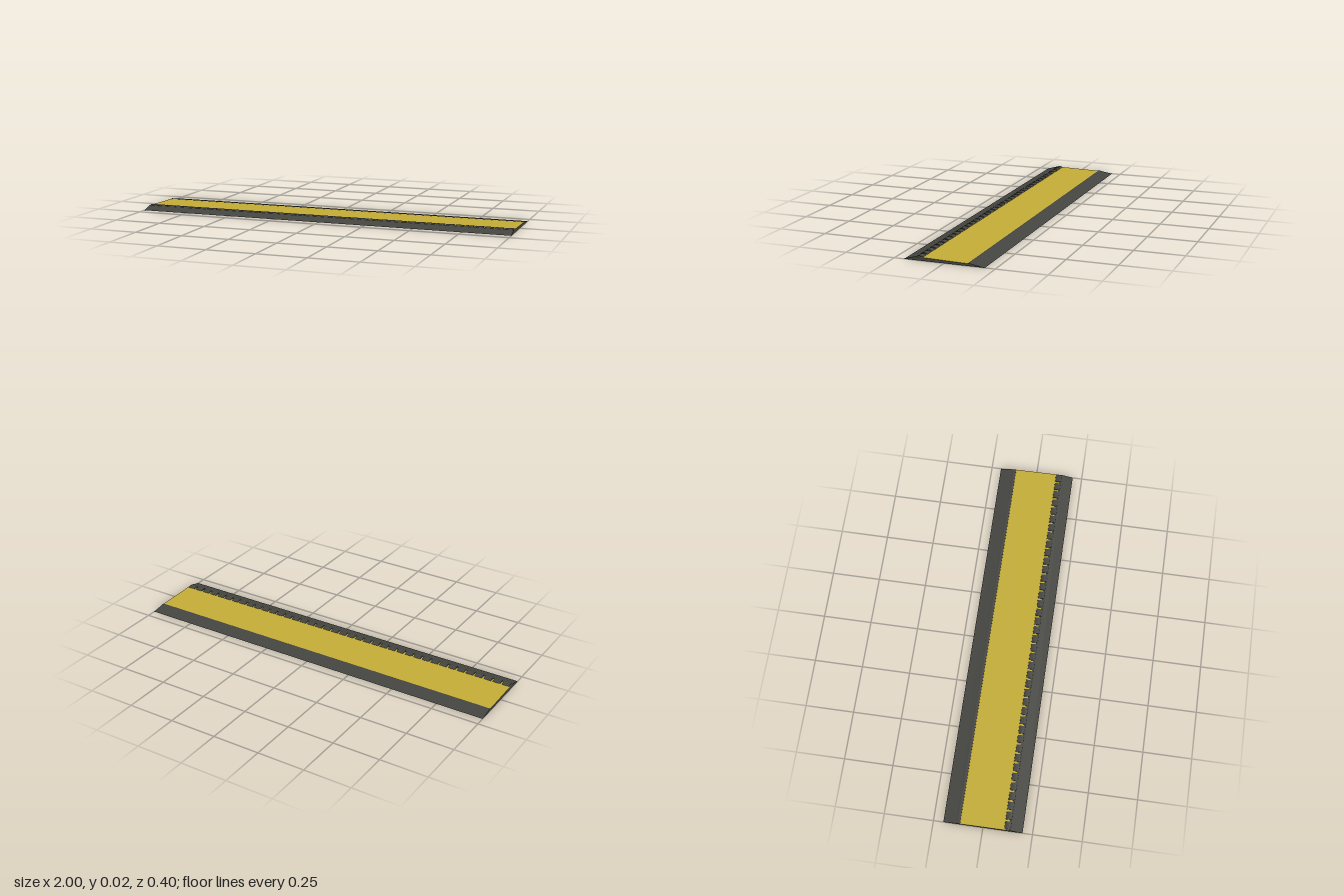
import * as THREE from 'three';

const rubber = new THREE.MeshStandardMaterial({ color: 0x444440 });
rubber.name = 'dark rubber';
const yellow = new THREE.MeshStandardMaterial({ color: 0xc2ab36 });
yellow.name = 'yellow plate';

// Extrudes a [z, y] cross-section along x, centred on x = 0
function strip(name, points, length, materials) {
  const shape = new THREE.Shape(points.map(([z, y]) => new THREE.Vector2(-z, y)));
  const geo = new THREE.ExtrudeGeometry(shape, { depth: length, bevelEnabled: false });
  geo.rotateY(Math.PI / 2).translate(-length / 2, 0, 0);
  const mesh = new THREE.Mesh(geo, materials);
  mesh.name = name;
  return mesh;
}

// Half-ellipse cross-section rising from a sloping base
function dome(zFront, yFront, zBack, yBack, height, steps = 8) {
  const pts = [];
  for (let i = 0; i <= steps; i++) {
    const t = (1 - Math.cos((Math.PI * i) / steps)) / 2;
    pts.push([
      zFront + (zBack - zFront) * t,
      yFront + (yBack - yFront) * t + height * Math.sin((Math.PI * i) / steps),
    ]);
  }
  return pts;
}

export function createModel() {
  const group = new THREE.Group();
  group.name = 'thresholdRamp';

  // Gently sloping plate: dark ends, yellow above and below
  group.add(strip('plate', [[0.125, 0], [0.13, 0.0165], [-0.115, 0.0112], [-0.117, 0]], 2, [rubber, yellow]));

  // Front and rear ramps
  group.add(strip('frontRamp', [[0.2, 0], [0.14, 0.0178], [0.13, 0.0165], [0.125, 0]], 2, rubber));
  group.add(strip('rearRamp',
    [[-0.117, 0], ...dome(-0.115, 0.0112, -0.133, 0.0108, 0.0016), [-0.2, 0]], 2, rubber));

  // Row of rounded ribs along the front edge
  const ribs = new THREE.Group();
  ribs.name = 'frontRibs';
  const count = 40, pitch = 2 / count;
  const ribProfile = [[0.139, 0.012], ...dome(0.139, 0.0165, 0.107, 0.0155, 0.0058), [0.107, 0.012]];
  const first = strip('rib', ribProfile, 0.04, rubber);
  for (let i = 0; i < count; i++) {
    const rib = first.clone();
    rib.position.x = -1 + pitch * (i + 0.5);
    ribs.add(rib);
  }
  group.add(ribs);

  return group;
}
